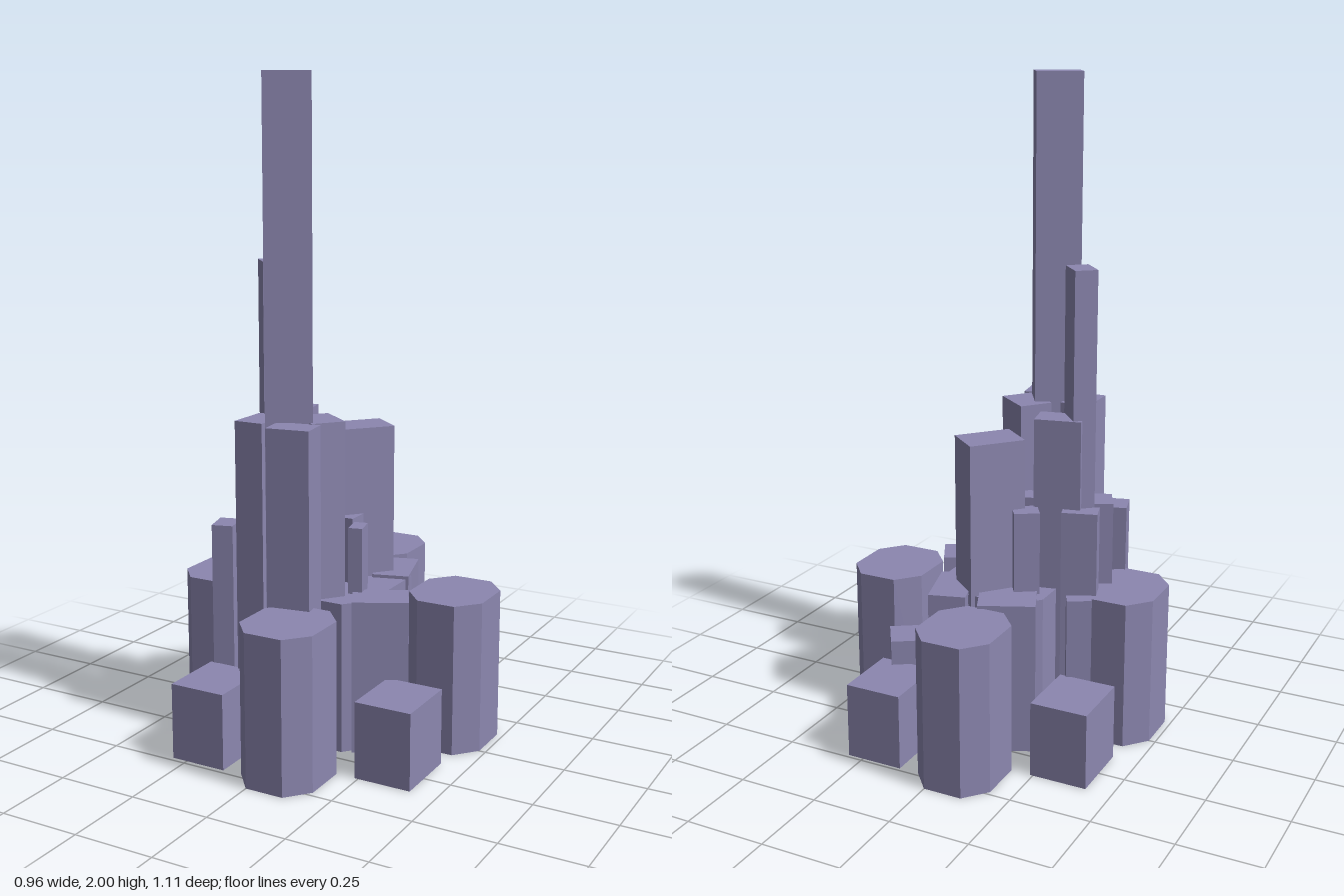
import * as THREE from 'three';

export function createModel() {
  const model = new THREE.Group();
  model.name = 'citySkyline';
  const material = new THREE.MeshStandardMaterial({ color: 0x8c87b0, flatShading: true, side: THREE.DoubleSide });

  const add = (name, geometry) => {
    const mesh = new THREE.Mesh(geometry, material);
    mesh.name = name;
    model.add(mesh);
    return mesh;
  };

  // Hollow podium, open underneath: a rectangle with corners cut by (cx, cz)
  const podium = (name, x, z, w, d, h, cx, cz) => {
    const a = w / 2, b = d / 2;
    const points = cx
      ? [[a, -b + cz], [a, b - cz], [a - cx, b], [-a + cx, b], [-a, b - cz], [-a, -b + cz], [-a + cx, -b], [a - cx, -b]]
      : [[a, -b], [a, b], [-a, b], [-a, -b]];
    const shape = new THREE.Shape(points.map(([px, pz]) => new THREE.Vector2(px, pz)));
    const solid = new THREE.ExtrudeGeometry(shape, { depth: h, bevelEnabled: false });
    solid.rotateX(-Math.PI / 2);
    // Keep every triangle except those of the floor
    const p = solid.attributes.position;
    const kept = [];
    for (let i = 0; i < p.count; i += 3) {
      if (Math.max(p.getY(i), p.getY(i + 1), p.getY(i + 2)) < 0.001) continue;
      for (let k = i; k < i + 3; k++) kept.push(p.getX(k), p.getY(k), p.getZ(k));
    }
    const geometry = new THREE.BufferGeometry();
    geometry.setAttribute('position', new THREE.Float32BufferAttribute(kept, 3));
    geometry.computeVertexNormals();
    add(name, geometry).position.set(x, 0, z);
  };

  // Turned block: its back edge runs from (x1, z1) to (x2, z2), its depth goes forward
  const block = (name, x1, z1, x2, z2, depth, h) => {
    const dx = x2 - x1, dz = z2 - z1, w = Math.hypot(dx, dz);
    const mesh = add(name, new THREE.BoxGeometry(w, h, depth));
    mesh.position.set((x1 + x2) / 2 - (dz / w) * depth / 2, h / 2, (z1 + z2) / 2 + (dx / w) * depth / 2);
    mesh.rotation.y = -Math.atan2(dz, dx);
  };

  // Octagonal podiums: one wide in the middle, four around it
  podium('centralPodium', 0, 0, 0.36, 0.416, 0.465, 0.06, 0.07);
  for (const [x, z] of [[-0.06, -0.418], [0.36, -0.07], [0.06, 0.414], [-0.36, 0.068]]) {
    podium('octagonalPodium', x, z, 0.24, 0.276, 0.465, 0.06, 0.069);
  }

  // Low square podiums
  for (const [x, z] of [[-0.33, -0.245], [0.21, -0.385], [0.327, 0.24], [-0.21, 0.381]]) {
    podium('squarePodium', x, z, 0.178, 0.208, 0.233, 0, 0);
  }

  // Tallest towers
  block('mainTower', -0.148, 0.19, -0.028, 0.118, 0.096, 2);
  block('secondTower', -0.278, 0.015, -0.225, -0.03, 0.1, 1.45);

  // High buildings
  for (const b of [
    [-0.093, -0.085, 0.022, -0.218, 0.127, 0.94],
    [-0.25, -0.03, -0.11, -0.06, 0.09, 1],
    [-0.013, 0.05, 0.093, 0.135, 0.105, 1],
    [-0.075, 0.238, 0.057, 0.218, 0.095, 1],
    [-0.195, 0.147, -0.102, 0.147, 0.138, 1],
  ]) block('highBuilding', ...b);

  // Slender middle-height buildings
  for (const b of [
    [-0.317, 0.07, -0.255, 0.04, 0.095, 0.725],
    [-0.31, 0.196, -0.247, 0.178, 0.088, 0.67],
    [-0.312, -0.042, -0.208, -0.073, 0.066, 0.725],
    [0.073, 0.042, 0.115, 0.032, 0.07, 0.67],
    [-0.04, -0.055, 0.053, -0.055, 0.07, 0.67],
    [-0.153, -0.105, -0.087, -0.147, 0.07, 0.725],
    [-0.08, 0.013, -0.028, 0, 0.07, 0.725],
    [-0.165, 0.025, -0.1, 0.055, 0.09, 0.67],
    [-0.13, 0.13, -0.07, 0.1, 0.04, 0.6],
  ]) block('slenderBuilding', ...b);

  // Broad low buildings
  for (const b of [
    [-0.194, -0.218, -0.035, -0.288, 0.18, 0.475],
    [0.025, -0.25, 0.135, -0.282, 0.19, 0.475],
    [0.093, 0.088, 0.243, 0.011, 0.122, 0.472],
    [-0.33, -0.115, -0.264, -0.15, 0.043, 0.48],
    [0.175, -0.265, 0.25, -0.313, 0.115, 0.31],
  ]) block('lowBuilding', ...b);

  return model;
}
